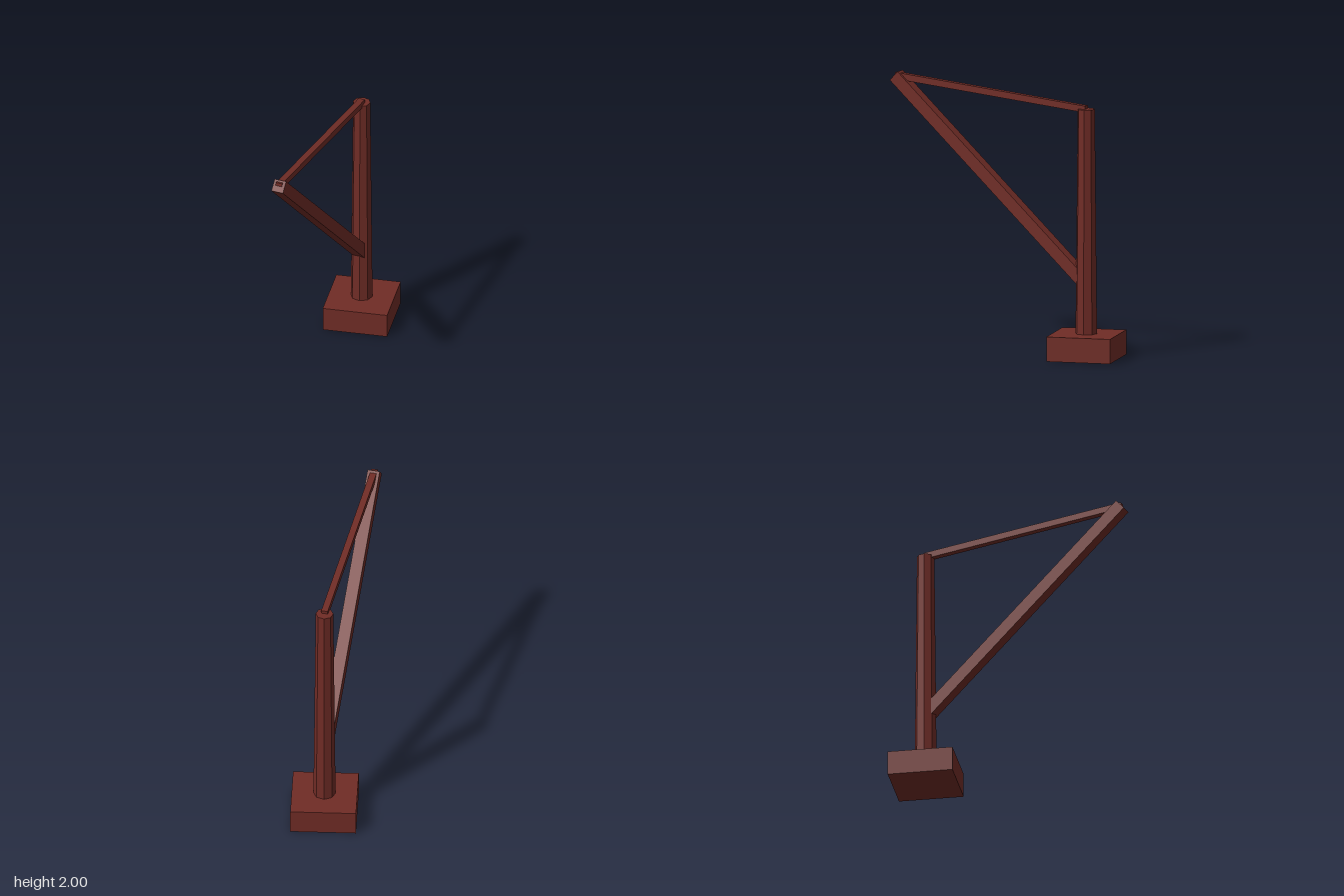
import * as THREE from 'three';

const material = new THREE.MeshStandardMaterial({ color: 0x702c26, flatShading: true });

function add(group, name, geometry, position) {
  const mesh = new THREE.Mesh(geometry, material);
  mesh.name = name;
  mesh.position.copy(position);
  group.add(mesh);
  return mesh;
}

// Square-section beam running from one point to another, without roll
function addBeam(group, name, from, to, thickness) {
  const middle = from.clone().add(to).multiplyScalar(0.5);
  const geometry = new THREE.BoxGeometry(thickness, thickness, from.distanceTo(to));
  add(group, name, geometry, middle).lookAt(to);
}

export function createModel() {
  const group = new THREE.Group();
  group.name = 'craneDerrick';

  const mastX = 0.053, mastZ = -0.647;
  const baseHeight = 0.18, mastTop = 1.82;
  const onMast = (y) => new THREE.Vector3(mastX, y, mastZ);
  const boomTip = new THREE.Vector3(-0.245, 1.967, 0.846);

  // Square footing block
  add(group, 'base', new THREE.BoxGeometry(0.475, baseHeight, 0.475), onMast(baseHeight / 2));

  // Tapered eight-sided mast
  const mastHeight = mastTop - baseHeight;
  add(group, 'mast', new THREE.CylinderGeometry(0.064, 0.08, mastHeight, 8),
    onMast(baseHeight + mastHeight / 2));

  // Slanted boom, and the thinner stay from the mast head to its tip
  addBeam(group, 'boom', onMast(0.548), boomTip, 0.09);
  addBeam(group, 'stay', onMast(mastTop), boomTip, 0.048);

  return group;
}
